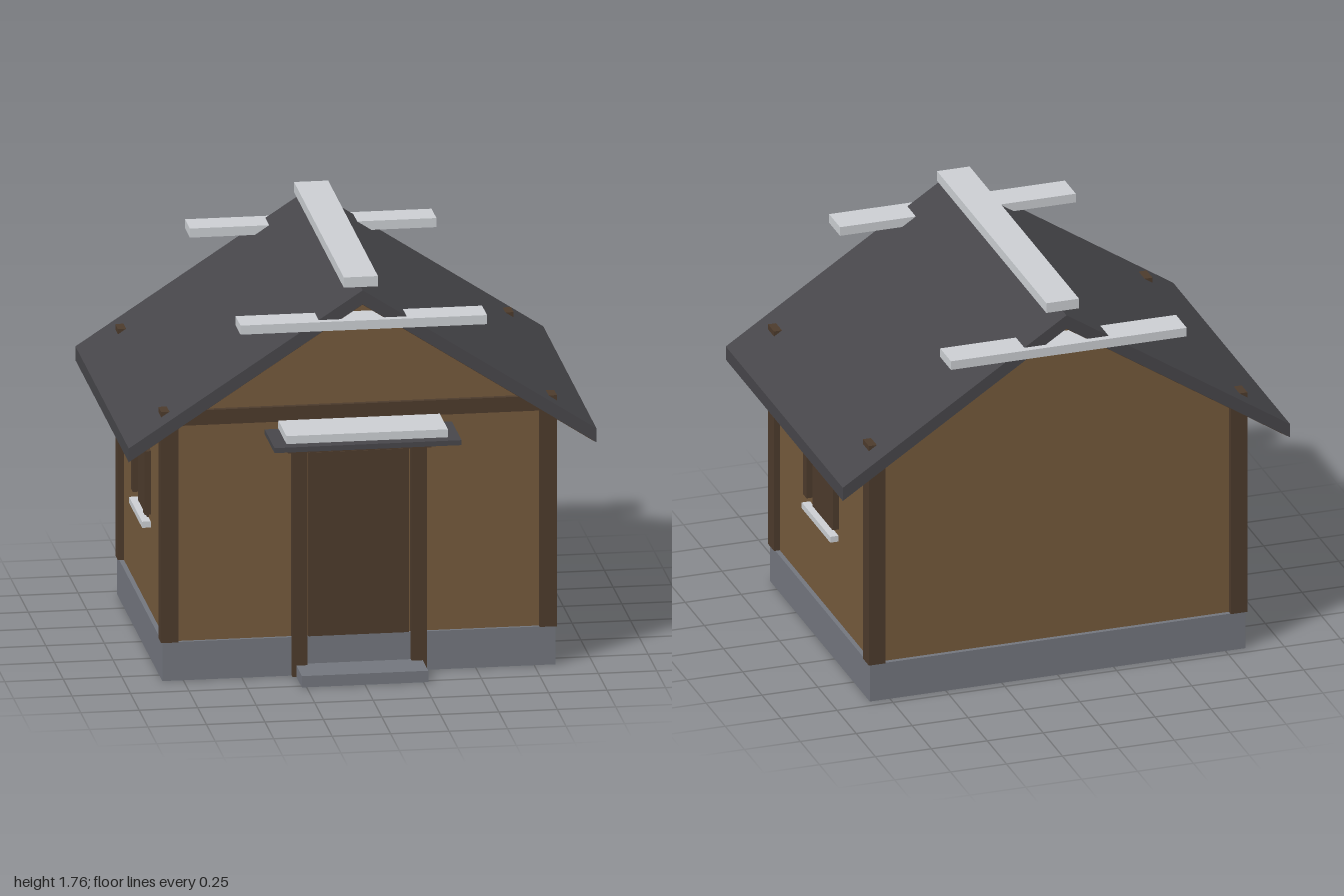
import * as THREE from 'three';

const mat = (name, color, side = THREE.FrontSide) =>
  Object.assign(new THREE.MeshStandardMaterial({ color, side }), { name });

export function createModel() {
  const house = new THREE.Group();
  house.name = 'cabin';
  const plank = mat('plank wall', 0x755a3c);
  const wood = mat('dark timber', 0x4d3b2c, THREE.DoubleSide);
  const stone = mat('stone', 0x73767e, THREE.DoubleSide);
  const slate = mat('roof slate', 0x47464a, THREE.DoubleSide);
  const snow = mat('snow', 0xcccfd3, THREE.DoubleSide);

  const add = (name, geo, material) => {
    const m = new THREE.Mesh(geo, material);
    m.name = name;
    house.add(m);
    return m;
  };
  // Box from its limits on each axis; open leaves out the underside
  const box = (name, material, [x0, x1], [y0, y1], [z0, z1], open = false) => {
    const g = new THREE.BoxGeometry(x1 - x0, y1 - y0, z1 - z0);
    if (open) {
      const i = Array.from(g.index.array);
      i.splice(18, 6);
      g.setIndex(i);
      g.clearGroups();
    }
    g.translate((x0 + x1) / 2, (y0 + y1) / 2, (z0 + z1) / 2);
    return add(name, g, material);
  };
  // Prism along z from an outline in x and y
  const prism = (name, material, points, z0, z1) => {
    const shape = new THREE.Shape(points.map(([x, y]) => new THREE.Vector2(x, y)));
    const g = new THREE.ExtrudeGeometry(shape, { depth: z1 - z0, bevelEnabled: false });
    return add(name, g.translate(0, 0, z0), material);
  };
  const span = (s, a, b) => (s > 0 ? [a, b] : [-b, -a]);

  // Foundation and step
  box('foundation', stone, [-0.84, 0.84], [0, 0.17], [-0.71, 0.59], true);
  box('doorStep', stone, [-0.27, 0.27], [0, 0.05], [0.59, 0.77], true);

  // Walls with gables
  prism('walls', plank, [[-0.82, 0.17], [0.82, 0.17], [0.82, 1.115], [0, 1.65], [-0.82, 1.115]], -0.69, 0.575);

  // Roof with vertical eave ends, timber lining below
  prism('roof', slate, [[-1, 1.005], [0, 1.658], [1, 1.005], [1, 1.066], [0, 1.72], [-1, 1.066]], -0.825, 0.7);
  prism('roofLining', wood, [[-0.99, 1.009], [0, 1.655], [0.99, 1.009], [0.99, 1.012], [0, 1.659], [-0.99, 1.012]], -0.82, 0.695);

  // Corner posts and front beam
  for (const s of [1, -1]) {
    box('cornerPost', wood, span(s, 0.772, 0.846), [0.17, 1.19], [0.52, 0.598]);
    box('cornerPost', wood, span(s, 0.772, 0.846), [0.17, 1.19], [-0.716, -0.64]);
  }
  box('frontBeam', wood, [-0.84, 0.84], [1.125, 1.19], [0.53, 0.597]);

  // Door, frame and canopy
  box('door', wood, [-0.215, 0.215], [0.17, 0.98], [0.56, 0.59]);
  for (const s of [1, -1]) box('doorJamb', wood, span(s, 0.222, 0.287), [0, 0.99], [0.56, 0.613]);
  box('doorLintel', wood, [-0.307, 0.307], [0.99, 1.065], [0.56, 0.62]);
  box('canopy', slate, [-0.4, 0.4], [1.065, 1.087], [0.57, 0.855]);
  box('canopySnow', snow, [-0.345, 0.345], [1.095, 1.13], [0.58, 0.83], true);

  // Side windows
  for (const s of [1, -1]) {
    box('windowPane', wood, span(s, 0.81, 0.828), [0.57, 0.905], [-0.19, 0.07]);
    box('windowFrame', wood, span(s, 0.81, 0.848), [0.6, 0.88], [0.09, 0.137]);
    box('windowFrame', wood, span(s, 0.81, 0.848), [0.6, 0.88], [-0.253, -0.205]);
    box('windowLintel', wood, span(s, 0.81, 0.857), [0.912, 0.96], [-0.24, 0.122]);
    box('sillSnow', snow, span(s, 0.81, 0.857), [0.54, 0.567], [-0.245, 0.127], true);
  }

  // Snow on the ridge and across the gables
  box('ridgeSnow', snow, [-0.073, 0.073], [1.72, 1.765], [-0.775, 0.65], true);
  box('frontGableSnow', snow, [-0.527, 0.527], [1.557, 1.597], [0.59, 0.732], true);
  box('backGableSnow', snow, [-0.527, 0.527], [1.557, 1.597], [-0.855, -0.715], true);

  return house;
}
